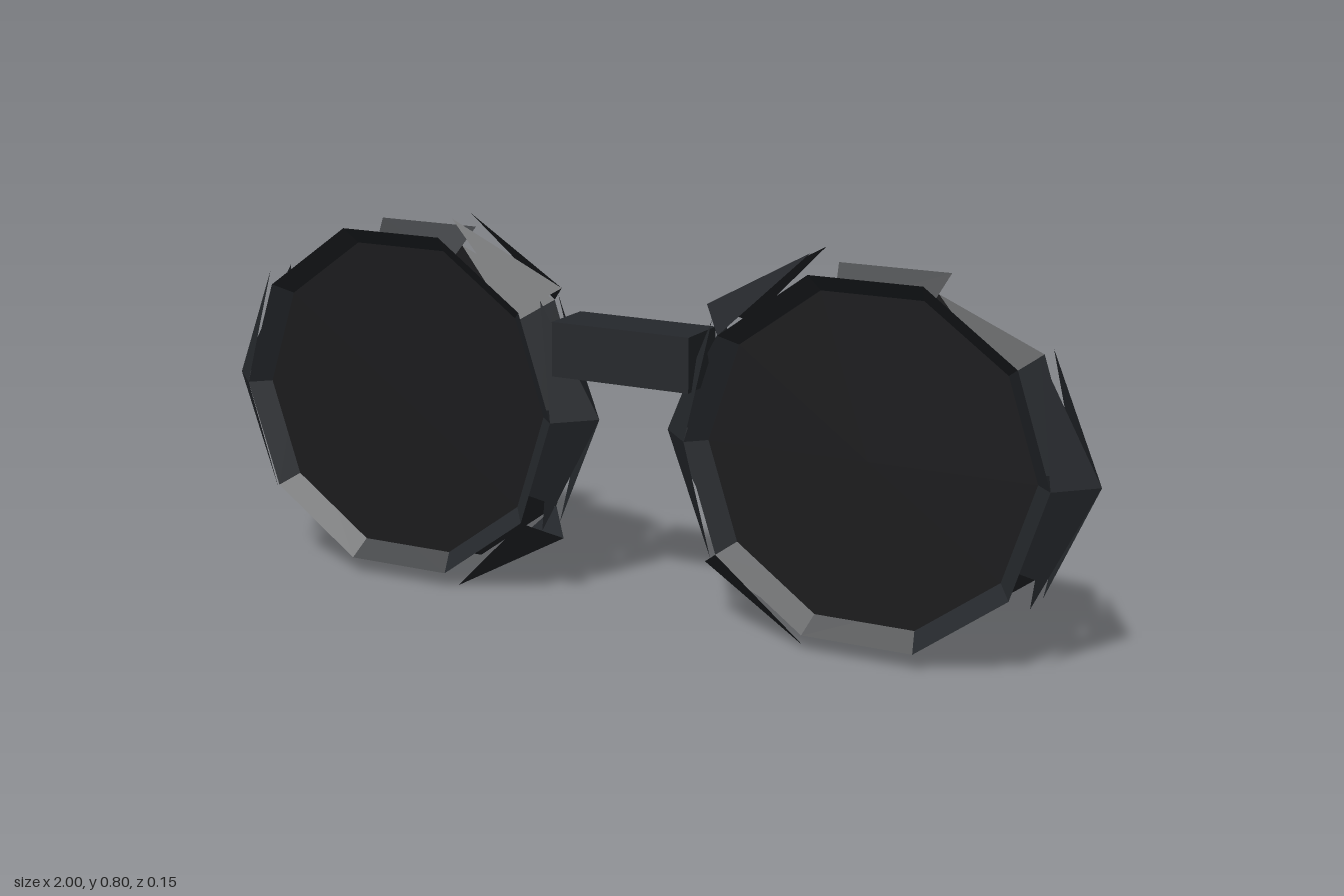
import * as THREE from 'three';

const SIDES = 10, RING = 0.385, TUBE = 0.075, CX = 0.54, CY = 0.403;

export function createModel() {
  const model = new THREE.Group();
  model.name = 'roundGlasses';
  const frameMat = new THREE.MeshStandardMaterial({ color: 0x25282c, flatShading: true, side: THREE.DoubleSide });
  const lensMat = new THREE.MeshStandardMaterial({ color: 0x1a1a1c, flatShading: true, side: THREE.DoubleSide });

  const add = (parent, name, geometry, material) => {
    const mesh = new THREE.Mesh(geometry, material);
    mesh.name = name;
    parent.add(mesh);
    return mesh;
  };

  // Point on the rim: ring step, distance from the lens axis, depth
  const at = (step, r, z) => {
    const a = step * Math.PI * 2 / SIDES;
    return new THREE.Vector3(Math.cos(a) * r, Math.sin(a) * r, z);
  };
  const fromTriangles = points => {
    const g = new THREE.BufferGeometry().setFromPoints(points);
    g.computeVertexNormals();
    return g;
  };

  // Inner bevel between the edge ridge and the valley under the lens edge
  function bevel(dir) {
    const pts = [];
    const ridge = i => at(i, RING, dir * TUBE);
    const valley = i => at(i, RING - TUBE, 0);
    const middle = i => at(i, RING - TUBE / 2, dir * TUBE / 2);
    for (let i = 0; i < SIDES; i++) {
      // The upper diagonal panels of the back taper to a point
      if (dir < 0 && i === 1) pts.push(ridge(1), middle(2), valley(1));
      else if (dir < 0 && i === 3) pts.push(ridge(4), valley(4), middle(3));
      else pts.push(ridge(i), ridge(i + 1), valley(i + 1), ridge(i), valley(i + 1), valley(i));
    }
    return fromTriangles(pts);
  }

  // Pointed outer panels: base across the rim at one step, tip at the next
  function outerPanels() {
    const pts = [];
    const panels = [[0, 1], [0, -1], [5, 4], [5, 6], [4, 3], [6, 7]];
    for (const [base, tip] of panels) {
      for (const dir of [1, -1]) {
        const tri = [at(base, RING + TUBE, 0), at(base, RING, dir * TUBE), at(tip, RING + TUBE / 2, dir * TUBE / 2)];
        if ((tip - base) * dir > 0) tri.reverse();
        pts.push(...tri);
      }
    }
    return fromTriangles(pts);
  }

  // One rim with its two lens faces, mirrored to both sides
  for (const side of [1, -1]) {
    const eye = new THREE.Group();
    eye.name = side > 0 ? 'leftEyepiece' : 'rightEyepiece';
    eye.position.set(side * CX, CY, 0);
    eye.scale.x = side;
    add(eye, 'rimFront', bevel(1), frameMat);
    add(eye, 'rimBack', bevel(-1), frameMat);
    add(eye, 'rimOuterPanels', outerPanels(), frameMat);
    for (const dir of [1, -1]) {
      const lens = add(eye, dir > 0 ? 'lensFront' : 'lensBack', new THREE.CircleGeometry(RING - TUBE / 2, SIDES), lensMat);
      lens.position.z = dir * TUBE / 2;
      if (dir < 0) lens.rotation.y = Math.PI;
    }
    model.add(eye);
  }

  // Bridge
  const bridge = add(model, 'bridge', new THREE.BoxGeometry(0.315, 0.115, 0.12), frameMat);
  bridge.position.set(0, 0.557, 0);

  return model;
}
